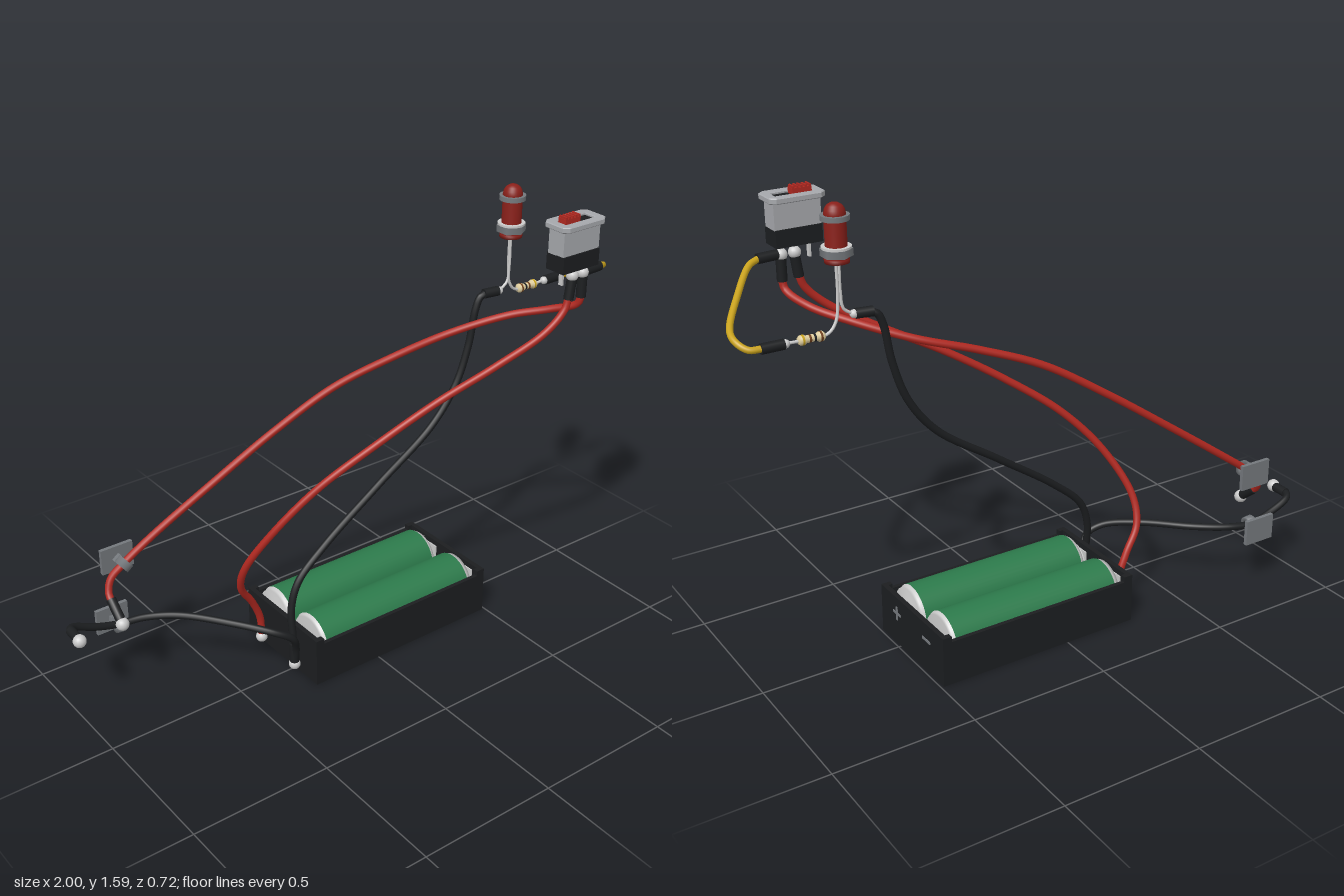
import * as THREE from 'three';

const mat = (color) => new THREE.MeshStandardMaterial({ color });
const M = {
  black: mat(0x1c1e20), red: mat(0xb02820), lens: mat(0x8a201a), green: mat(0x2c7a4b),
  silver: mat(0xc4c6c8), steel: mat(0x74787c), yellow: mat(0xc9a21c), beige: mat(0xe0cfa0),
  brown: mat(0x70401c), body: mat(0xa6a8ac),
};
const V = (p) => new THREE.Vector3(...p);

export function createModel() {
  const root = new THREE.Group();

  const add = (name, geometry, material, pos = [0, 0, 0], parent = root) => {
    const mesh = new THREE.Mesh(geometry, material);
    mesh.name = name;
    mesh.position.set(...pos);
    parent.add(mesh);
    return mesh;
  };
  const group = (name, pos = [0, 0, 0]) => {
    const g = new THREE.Group();
    g.name = name;
    g.position.set(...pos);
    root.add(g);
    return g;
  };
  const box = (name, size, pos, material, parent) =>
    add(name, new THREE.BoxGeometry(...size), material, pos, parent);
  // straight rod between two points
  const rod = (name, a, b, r, material, parent) => {
    const d = V(b).sub(V(a));
    const mesh = add(name, new THREE.CylinderGeometry(r, r, d.length(), 16), material,
      V(a).add(V(b)).multiplyScalar(0.5).toArray(), parent);
    mesh.quaternion.setFromUnitVectors(new THREE.Vector3(0, 1, 0), d.normalize());
    return mesh;
  };
  // smooth wire through points, with round ends
  const wire = (name, points, r, material) => {
    const curve = new THREE.CatmullRomCurve3(points.map(V), false, 'centripetal');
    add(name, new THREE.TubeGeometry(curve, points.length * 10, r, 12), material);
    for (const p of [points[0], points[points.length - 1]])
      add(name + 'End', new THREE.SphereGeometry(r, 12, 8), material, p);
  };
  const solder = (p, r = 0.021) => add('solderJoint', new THREE.SphereGeometry(r, 16, 12), M.silver, p);

  // Battery holder: open tray with higher end walls
  const tray = group('batteryHolder', [0.11, 0, -0.08]);
  box('trayFloor', [0.76, 0.015, 0.42], [0, 0.0075, 0], M.black, tray);
  for (const s of [-1, 1]) {
    box('sideWall', [0.76, 0.16, 0.015], [0, 0.08, s * 0.2025], M.black, tray);
    box('endWall', [0.018, 0.18, 0.42], [s * 0.371, 0.09, 0], M.black, tray);
    for (const t of [-1, 1]) {
      box('cornerPost', [0.03, 0.18, 0.02], [s * 0.362, 0.09, t * 0.2], M.black, tray);
      box('contactPlate', [0.004, 0.13, 0.13], [s * 0.359, 0.095, t * 0.103], M.silver, tray);
    }
  }
  box('divider', [0.74, 0.07, 0.012], [0, 0.035, 0], M.black, tray);
  // polarity marks on the end wall
  box('polarityMark', [0.004, 0.009, 0.05], [0.381, 0.12, 0.1], M.steel, tray);
  box('polarityMark', [0.004, 0.05, 0.009], [0.381, 0.12, 0.1], M.steel, tray);
  box('polarityMark', [0.004, 0.009, 0.05], [0.381, 0.12, -0.1], M.steel, tray);

  // Two cells lying in opposite directions, each with a contact spring
  const profile = (pts) => new THREE.LatheGeometry(pts.map((p) => new THREE.Vector2(...p)), 40);
  for (const s of [-1, 1]) {
    const cell = group('battery', [0.11, 0.11, s > 0 ? 0.02 : -0.185]);
    cell.rotation.z = -s * Math.PI / 2;
    add('batterySleeve', new THREE.CylinderGeometry(0.095, 0.095, 0.64, 40, 1, true), M.green, [0, 0, 0], cell);
    add('positiveEnd', profile([[0.095, 0.32], [0.088, 0.328], [0.088, 0.338], [0.03, 0.342],
      [0.03, 0.355], [0, 0.356]]), M.silver, [0, 0, 0], cell);
    add('negativeEnd', profile([[0, -0.335], [0.086, -0.335], [0.09, -0.328], [0.095, -0.32]]),
      M.silver, [0, 0, 0], cell);
    const coil = [];
    for (let i = 0; i <= 48; i++) {
      const a = i / 48 * Math.PI * 6, r = 0.035 + 0.025 * i / 48;
      coil.push(new THREE.Vector3(r * Math.cos(a), -0.335 - 0.022 * i / 48, r * Math.sin(a)));
    }
    add('contactSpring', new THREE.TubeGeometry(new THREE.CatmullRomCurve3(coil), 96, 0.004, 6),
      M.silver, [0, 0, 0], cell);
  }
  for (const z of [-0.185, 0.02]) {
    solder([-0.287, 0.035, z]);
    rod('terminal', [-0.26, 0.035, z], [-0.285, 0.035, z], 0.009, M.silver);
  }

  // Slide switch
  const sw = group('slideSwitch', [0.652, 0, 0.308]);
  box('switchBase', [0.16, 0.058, 0.08], [0, 1.413, 0], M.black, sw);
  box('switchBody', [0.16, 0.09, 0.07], [0, 1.485, 0], M.body, sw);
  const plate = new THREE.Shape();
  plate.moveTo(-0.075, -0.052).lineTo(0.075, -0.052).lineTo(0.092, -0.038).lineTo(0.092, 0.038)
    .lineTo(0.075, 0.052).lineTo(-0.075, 0.052).lineTo(-0.092, 0.038).lineTo(-0.092, -0.038);
  const slot = new THREE.Path();
  slot.moveTo(-0.068, -0.026).lineTo(-0.068, 0.026).lineTo(0.068, 0.026).lineTo(0.068, -0.026);
  plate.holes.push(slot);
  const flange = add('switchFlange', new THREE.ExtrudeGeometry(plate, { depth: 0.014, bevelEnabled: true,
    bevelSize: 0.003, bevelThickness: 0.003, bevelSegments: 1 }), M.body, [0, 1.531, 0], sw);
  flange.rotation.x = -Math.PI / 2;
  box('sliderTrack', [0.136, 0.01, 0.052], [0, 1.535, 0], M.black, sw);
  box('slider', [0.066, 0.026, 0.034], [-0.028, 1.548, 0], M.red, sw);
  for (let i = 0; i < 5; i++)
    box('sliderRidge', [0.006, 0.008, 0.034], [-0.056 + i * 0.014, 1.564, 0], M.red, sw);
  for (const x of [-0.047, 0.003, 0.05]) box('switchPin', [0.008, 0.06, 0.016], [x, 1.36, 0], M.silver, sw);

  // Panel lamp
  const lamp = group('lamp', [0.652, 0, 0.01]);
  add('lampLens', profile([[0, 1.4], [0.039, 1.4], [0.039, 1.412], [0.034, 1.414], [0.034, 1.55],
    [0.031, 1.565], [0.024, 1.576], [0.013, 1.583], [0, 1.585]]), M.lens, [0, 0, 0], lamp);
  add('lampCollar', new THREE.CylinderGeometry(0.045, 0.045, 0.016, 32), M.steel, [0, 1.54, 0], lamp);
  add('lampNut', new THREE.CylinderGeometry(0.051, 0.051, 0.024, 6), M.steel, [0, 1.432, 0], lamp);
  add('lampWasher', new THREE.CylinderGeometry(0.047, 0.047, 0.007, 32), M.silver, [0, 1.448, 0], lamp);

  // Lamp leads and resistor
  wire('lampLead', [[0.64, 1.4, 0.023], [0.64, 1.3, 0.023], [0.632, 1.245, 0.024], [0.6, 1.22, 0.024]], 0.005, M.silver);
  wire('lampLead', [[0.664, 1.4, -0.007], [0.664, 1.3, -0.007], [0.675, 1.22, -0.009], [0.705, 1.187, -0.01],
    [0.84, 1.185, -0.012]], 0.005, M.silver);
  const resistor = group('resistor', [0.76, 1.185, -0.011]);
  resistor.rotation.z = -Math.PI / 2;
  add('resistorBody', profile([[0, -0.045], [0.011, -0.043], [0.016, -0.037], [0.016, -0.024], [0.012, -0.019],
    [0.012, 0.019], [0.016, 0.024], [0.016, 0.037], [0.011, 0.043], [0, 0.045]]), M.beige, [0, 0, 0], resistor);
  [[-0.03, M.brown, 0.0165], [-0.01, M.black, 0.0125], [0.006, M.brown, 0.0125], [0.03, M.yellow, 0.0165]]
    .forEach(([y, m, r]) => add('resistorBand', new THREE.CylinderGeometry(r, r, 0.007, 20), m, [0, y, 0], resistor));
  solder([0.845, 1.185, -0.012], 0.014);
  solder([0.597, 1.22, 0.024], 0.014);

  // Switch joints and insulating sleeves
  const z = 0.308;
  solder([0.655, 1.352, z]);
  solder([0.702, 1.352, z]);
  const sleeve = (a, b) => rod('insulatingSleeve', a, b, 0.017, M.black);
  sleeve([0.655, 1.34, z], [0.645, 1.27, z]);
  sleeve([0.703, 1.34, z], [0.703, 1.265, z]);
  sleeve([0.715, 1.354, z], [0.785, 1.353, 0.303]);
  sleeve([0.85, 1.185, -0.012], [0.925, 1.185, -0.012]);
  sleeve([0.592, 1.22, 0.024], [0.535, 1.22, 0.015]);
  sleeve([-0.82, 0.305, -0.215], [-0.819, 0.36, -0.28]);
  sleeve([-0.287, 0.045, 0.02], [-0.287, 0.12, 0.02]);

  // Wires
  wire('yellowWire', [[0.92, 1.185, -0.012], [0.96, 1.187, -0.006], [0.985, 1.205, 0.025], [0.982, 1.225, 0.075],
    [0.9, 1.29, 0.195], [0.82, 1.343, 0.285], [0.78, 1.353, 0.304]], 0.011, M.yellow);
  wire('redBatteryWire', [[0.648, 1.29, z], [0.63, 1.235, z], [0.56, 1.165, 0.294], [0.4, 1.07, 0.24],
    [0.2, 0.965, 0.17], [0, 0.84, 0.1], [-0.18, 0.705, 0.025], [-0.31, 0.555, -0.045], [-0.385, 0.39, -0.125],
    [-0.38, 0.29, -0.163], [-0.325, 0.2, -0.18], [-0.292, 0.12, -0.185], [-0.287, 0.045, -0.185]], 0.013, M.red);
  wire('redProbeWire', [[0.703, 1.29, z], [0.7, 1.24, 0.3], [0.66, 1.2, 0.215], [0.57, 1.165, 0.11], [0.4, 1.105, 0],
    [0.2, 1.045, -0.065], [0, 0.97, -0.125], [-0.2, 0.85, -0.18], [-0.45, 0.68, -0.24], [-0.65, 0.54, -0.285],
    [-0.75, 0.467, -0.3], [-0.8, 0.42, -0.308], [-0.818, 0.375, -0.295], [-0.819, 0.345, -0.265]], 0.013, M.red);
  wire('blackLampWire', [[0.56, 1.22, 0.02], [0.525, 1.212, 0.012], [0.505, 1.17, 0.01], [0.48, 1.04, 0.008],
    [0.43, 0.9, 0.004], [0.33, 0.77, 0], [0.1, 0.61, -0.005], [-0.13, 0.45, -0.007], [-0.245, 0.345, -0.007],
    [-0.28, 0.25, -0.003], [-0.285, 0.15, 0.01], [-0.286, 0.045, 0.018]], 0.013, M.black);
  wire('blackProbeWire', [[-0.978, 0.3, -0.215], [-0.975, 0.3, -0.285], [-0.955, 0.292, -0.305], [-0.87, 0.255, -0.307],
    [-0.79, 0.235, -0.303], [-0.7, 0.238, -0.28], [-0.6, 0.24, -0.215], [-0.47, 0.23, -0.07], [-0.37, 0.205, 0.03],
    [-0.315, 0.17, 0.052], [-0.29, 0.11, 0.035], [-0.286, 0.045, 0.022]], 0.013, M.black);
  sleeve([-0.978, 0.3, -0.22], [-0.976, 0.3, -0.28]);

  // Probe tips
  solder([-0.98, 0.3, -0.21], 0.023);
  solder([-0.82, 0.3, -0.21], 0.023);

  // Wire clips: square pad, stem and ring around the wire
  for (const [x, y, tilt] of [[-0.75, 0.465, 0.65], [-0.788, 0.236, -0.1]]) {
    const clip = group('wireClip', [x, y, -0.301]);
    box('clipPad', [0.12, 0.094, 0.014], [0, 0, -0.05], M.steel, clip);
    box('clipStem', [0.03, 0.026, 0.032], [0, 0, -0.032], M.steel, clip).rotation.z = tilt;
    const ring = add('clipRing', profile([[0.014, -0.014], [0.029, -0.014], [0.029, 0.014], [0.014, 0.014],
      [0.014, -0.014]]), M.steel, [0, 0, 0], clip);
    ring.rotation.z = tilt - Math.PI / 2;
  }
  return root;
}
